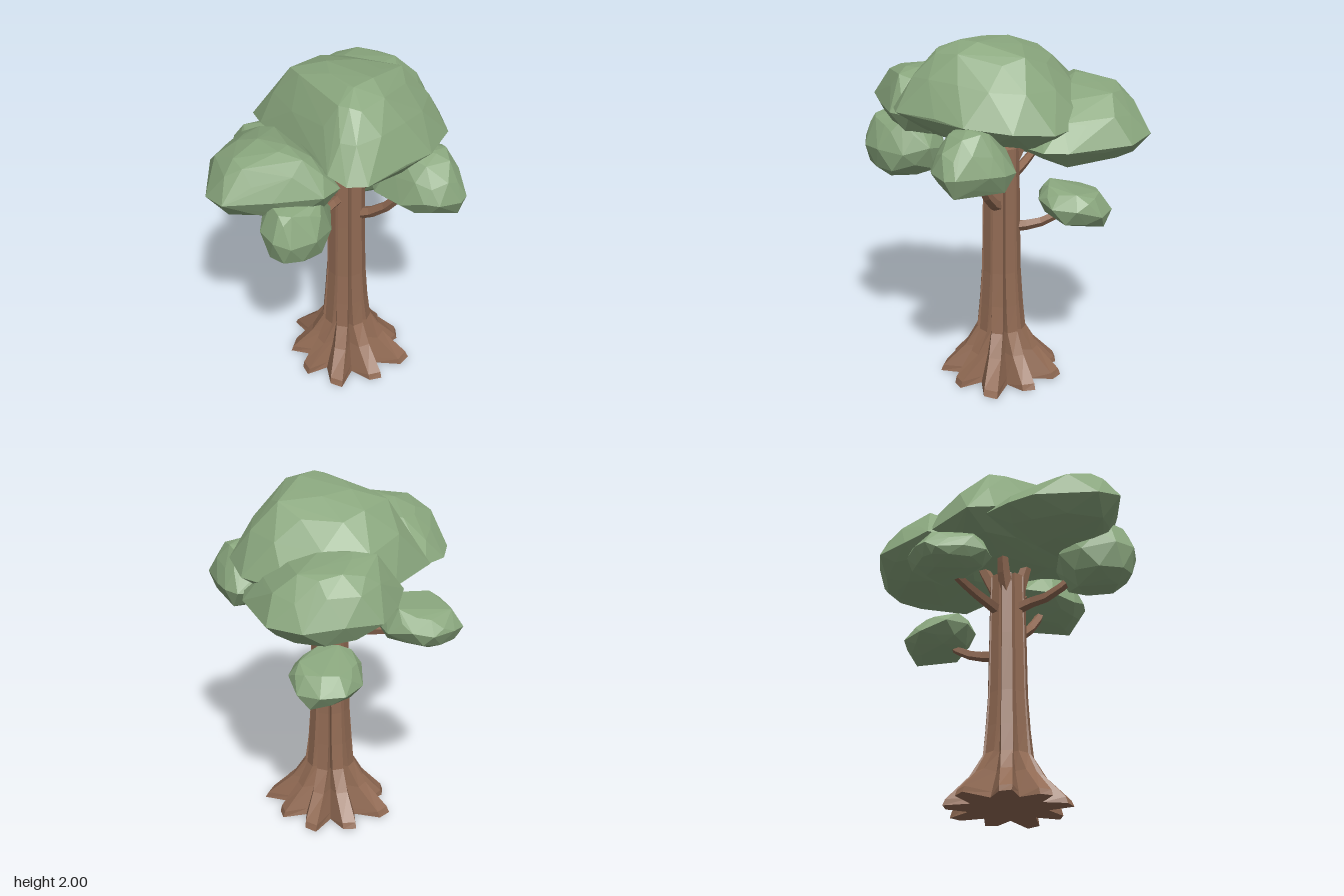
import * as THREE from 'three';
import { ConvexGeometry } from 'three/addons/geometries/ConvexGeometry.js';

const leafMat = new THREE.MeshStandardMaterial({ color: 0x8aa77e, flatShading: true });
const barkMat = new THREE.MeshStandardMaterial({ color: 0x926b54, flatShading: true, side: THREE.DoubleSide });

function seeded(seed) {
  let s = seed * 7919 + 17;
  return () => (s = (s * 16807) % 2147483647) / 2147483647;
}

function addMesh(parent, name, geometry, material) {
  const mesh = new THREE.Mesh(geometry, material);
  mesh.name = name;
  parent.add(mesh);
}

// Ring scales from bottom to top, the third being the rim
const domed = [0.42, 0.8, 1, 0.82, 0.56, 0.25];
const blunt = [0.52, 0.87, 1, 0.9, 0.7, 0.38];
const levels = [-1, -0.62, 0, 0.48, 0.82, 1];

// Faceted leaf clump: rings of a plan outline [x, z], shrinking towards the low and high points
function clump({ outline, y: [bottom, rim, top], low, high, profile = domed, tilt = [0, 0] }, seed) {
  const rand = seeded(seed);
  const n = outline.length;
  const centre = [0, 1].map((k) => outline.reduce((a, p) => a + p[k], 0) / n);
  const points = [];
  levels.forEach((t, k) => {
    const [ax, az] = (t < 0 ? low : high) ?? centre;
    const y = rim + (t < 0 ? rim - bottom : top - rim) * t;
    const step = Math.abs(t) === 1 ? 2 : 1;
    for (let i = 0; i < n; i += step) {
      let [x, z] = outline[i];
      // odd rings sit between the outline corners
      if (k % 2) {
        const q = outline[(i + 1) % n];
        x = (x + q[0]) / 2;
        z = (z + q[1]) / 2;
      }
      const s = t === 0 ? 1 : profile[k] * (1.06 - 0.12 * rand());
      const px = x * s + ax * (1 - s);
      const pz = z * s + az * (1 - s);
      const wobble = step === 2 ? -t * 0.025 * rand() : 0.05 * (rand() - 0.5);
      points.push(new THREE.Vector3(px, y + wobble + tilt[0] * (px - centre[0]) + tilt[1] * (pz - centre[1]), pz));
    }
  });
  return new ConvexGeometry(points);
}

// Fluted trunk flaring into separate roots
function trunkGeometry() {
  const lobes = 9;
  const rand = seeded(5);
  const reach = Array.from({ length: lobes }, (_, i) => (i === 0 ? 1.08 : 0.92 + 0.14 * rand()));
  const turn = reach.map(() => 0.1 * (rand() - 0.5));
  // height, ridge radius, groove radius, half width of ridge
  const rows = [
    [0.005, 0.36, 0.22, 0.15], [0.04, 0.345, 0.205, 0.16], [0.17, 0.215, 0.145, 0.23],
    [0.29, 0.143, 0.11, 0.33], [0.45, 0.126, 0.1, 0.37], [0.65, 0.113, 0.092, 0.39],
    [1.0, 0.107, 0.088, 0.39], [1.38, 0.102, 0.084, 0.38],
  ];
  const pos = [];
  const index = [];
  const n = lobes * 3;
  for (const [y, ridge, groove, half] of rows) {
    const flare = Math.max(0, 1 - y / 0.4);
    for (let i = 0; i < lobes; i++) {
      const r = ridge * (1 + (reach[i] - 1) * flare);
      for (const [offset, radius] of [[-0.5, groove], [-half, r], [half, r * (1 - 0.06 * flare)]]) {
        const a = ((i + offset) / lobes) * Math.PI * 2 + turn[i] * (offset === -0.5 ? 0 : 1);
        pos.push(0.019 + Math.cos(a) * radius, y, Math.sin(a) * radius);
      }
    }
  }
  for (let k = 0; k < rows.length - 1; k++) {
    for (let i = 0; i < n; i++) {
      const a = k * n + i;
      const b = k * n + ((i + 1) % n);
      index.push(a, a + n, b, b, a + n, b + n);
    }
  }
  // end caps
  const base = pos.length / 3;
  pos.push(0.019, 0, 0, 0.019, 1.4, 0);
  const last = (rows.length - 1) * n;
  for (let i = 0; i < n; i++) {
    const j = (i + 1) % n;
    index.push(base, i, j, base + 1, last + j, last + i);
  }
  const g = new THREE.BufferGeometry();
  g.setAttribute('position', new THREE.Float32BufferAttribute(pos, 3));
  g.setIndex(index);
  g.computeVertexNormals();
  return g;
}

// Five-sided limb tapering along a curve
function limbGeometry(path, r0, r1) {
  const curve = new THREE.CatmullRomCurve3(path.map((p) => new THREE.Vector3(...p)));
  const segs = 4, sides = 5;
  const g = new THREE.TubeGeometry(curve, segs, 1, sides);
  const p = g.attributes.position;
  const v = new THREE.Vector3();
  for (let i = 0; i < p.count; i++) {
    const t = Math.floor(i / (sides + 1)) / segs;
    const c = curve.getPointAt(t);
    v.fromBufferAttribute(p, i).sub(c).multiplyScalar(r0 + (r1 - r0) * t).add(c);
    p.setXYZ(i, v.x, v.y, v.z);
  }
  return g;
}

const clumps = {
  crown: {
    outline: [[0.23, 0.55], [0.33, 0.51], [0.45, 0.27], [0.53, 0.1], [0.54, -0.16], [0.43, -0.36], [0.17, -0.5],
      [-0.22, -0.5], [-0.38, -0.32], [-0.53, 0], [-0.43, 0.12], [-0.07, 0.35], [0.12, 0.53]],
    y: [1.45, 1.61, 1.99], low: [0.05, -0.05], high: [0.07, 0.05],
    profile: [0.42, 0.8, 1, 0.82, 0.57, 0.32], tilt: [0.04, 0.06],
  },
  backClump: {
    outline: [[0.02, -0.82], [0.22, -0.74], [0.28, -0.6], [0.41, -0.43], [0.43, -0.3], [0.28, -0.1],
      [-0.3, -0.1], [-0.42, -0.3], [-0.41, -0.45], [-0.36, -0.64], [-0.18, -0.74]],
    y: [1.35, 1.49, 1.76], low: [-0.08, -0.58], high: [-0.1, -0.44], tilt: [-0.08, 0],
  },
  frontClump: {
    outline: [[-0.33, 0.82], [-0.46, 0.74], [-0.59, 0.42], [-0.585, 0.27], [-0.5, 0.1], [-0.33, 0.14],
      [0, 0.27], [0.17, 0.48], [0.13, 0.6], [-0.1, 0.72]],
    y: [1.38, 1.53, 1.765], low: [-0.12, 0.45], high: [-0.17, 0.54], tilt: [0.02, 0.04],
  },
  frontSmallClump: {
    outline: [[-0.07, 0.8], [0.02, 0.78], [0.12, 0.68], [0.14, 0.53], [0.08, 0.39], [-0.05, 0.33],
      [-0.18, 0.4], [-0.23, 0.55], [-0.17, 0.73]],
    y: [1.17, 1.35, 1.53], profile: blunt,
  },
  leftClump: {
    outline: [[0.73, 0.1], [0.72, 0.16], [0.63, 0.25], [0.55, 0.27], [0.42, 0.26], [0.25, 0.19],
      [0.17, 0.05], [0.27, -0.1], [0.5, -0.17], [0.58, -0.13], [0.64, -0.06]],
    y: [1.27, 1.39, 1.63], low: [0.52, 0.05], high: [0.5, 0.07], profile: [0.42, 0.8, 1, 0.81, 0.52, 0.22],
  },
  rightClump: {
    outline: [[-0.73, -0.15], [-0.69, -0.23], [-0.59, -0.33], [-0.48, -0.36], [-0.34, -0.31], [-0.26, -0.18],
      [-0.28, -0.02], [-0.42, 0.1], [-0.53, 0.12], [-0.63, 0.03], [-0.72, -0.09]],
    y: [1.18, 1.29, 1.39], profile: blunt, tilt: [0.1, 0],
  },
  backLowClump: {
    outline: [[-0.03, -0.62], [0.1, -0.58], [0.17, -0.45], [0.16, -0.31], [0.06, -0.22], [-0.09, -0.2],
      [-0.2, -0.28], [-0.23, -0.43], [-0.16, -0.57]],
    y: [0.95, 1.05, 1.15], profile: blunt, tilt: [0, 0.16],
  },
};

// path, start radius, end radius
const limbs = {
  leftBranch: [[[0.07, 1.04, 0], [0.14, 1.07, 0.01], [0.25, 1.15, 0.03], [0.33, 1.24, 0.05], [0.4, 1.36, 0.06]], 0.036, 0.024],
  rightBranch: [[[-0.05, 1.16, -0.03], [-0.16, 1.18, -0.06], [-0.27, 1.2, -0.09], [-0.42, 1.23, -0.12]], 0.034, 0.024],
  frontBranch: [[[0, 1.17, 0.06], [-0.01, 1.2, 0.2], [-0.03, 1.2, 0.29], [-0.04, 1.29, 0.44]], 0.034, 0.024],
  backBranch: [[[0, 0.9, -0.07], [0, 0.92, -0.17], [-0.01, 0.95, -0.26], [-0.02, 1.02, -0.36]], 0.034, 0.022],
  upperLeftLimb: [[[0.05, 1.2, 0], [0.13, 1.28, 0], [0.22, 1.36, 0.01], [0.28, 1.42, 0.02]], 0.04, 0.026],
  upperRightLimb: [[[-0.03, 1.26, 0.02], [-0.08, 1.38, 0.02], [-0.12, 1.5, 0.03]], 0.045, 0.03],
  upperFrontLimb: [[[0.04, 1.26, 0.04], [0.06, 1.38, 0.07], [0.08, 1.5, 0.1]], 0.045, 0.03],
  upperBackLimb: [[[0, 1.26, -0.04], [-0.01, 1.36, -0.09], [-0.03, 1.5, -0.16]], 0.045, 0.03],
};

export function createModel() {
  const tree = new THREE.Group();
  tree.name = 'tree';
  addMesh(tree, 'trunk', trunkGeometry(), barkMat);

  const branches = new THREE.Group();
  branches.name = 'branches';
  for (const [name, args] of Object.entries(limbs)) addMesh(branches, name, limbGeometry(...args), barkMat);

  const foliage = new THREE.Group();
  foliage.name = 'foliage';
  Object.entries(clumps).forEach(([name, spec], i) => addMesh(foliage, name, clump(spec, i + 3), leafMat));

  tree.add(branches, foliage);
  return tree;
}
